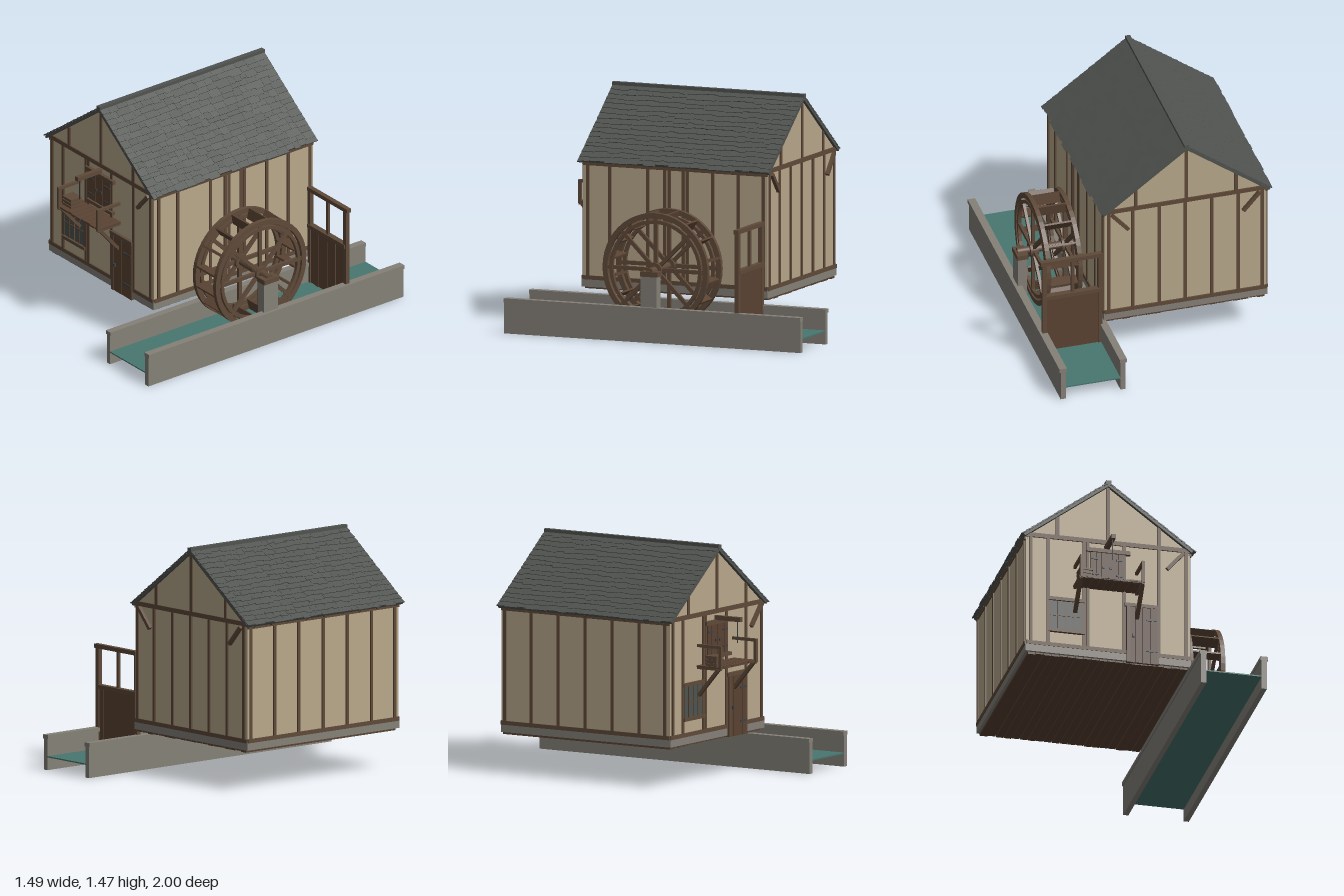
import * as THREE from 'three';
import { mergeGeometries } from 'three/addons/utils/BufferGeometryUtils.js';

const material = (name, color) => Object.assign(new THREE.MeshStandardMaterial({ color }), { name });

export function createModel() {
  const plaster = material('plaster', 0xb8a88b);
  const timber = material('timber', 0x5f4a39);
  const plank = material('plank', 0x5a4333);
  const slate = material('slate', 0x50534f);
  const stone = material('stone', 0x858178);
  const water = material('water', 0x48766f);
  const iron = material('iron', 0x3d4244);
  const glass = material('glass', 0x4c5351);

  const model = new THREE.Group();
  model.name = 'watermill';
  let seed = 7;
  const rand = () => (seed = (seed * 16807) % 2147483647) / 2147483647;

  const group = (name, parent = model) => {
    const g = new THREE.Group();
    g.name = name;
    parent.add(g);
    return g;
  };
  const add = (parent, name, geo, mat) => {
    const m = new THREE.Mesh(geo, mat);
    m.name = name;
    parent.add(m);
    return m;
  };
  // box given by its limits on each axis
  const box = (parent, name, mat, x0, x1, y0, y1, z0, z1) => {
    const m = add(parent, name, new THREE.BoxGeometry(x1 - x0, y1 - y0, z1 - z0), mat);
    m.position.set((x0 + x1) / 2, (y0 + y1) / 2, (z0 + z1) / 2);
    return m;
  };
  // square beam between two points
  const beam = (parent, name, mat, a, b, w, d = w) => {
    const p = new THREE.Vector3(...a), q = new THREE.Vector3(...b);
    const m = add(parent, name, new THREE.BoxGeometry(w, d, p.distanceTo(q)), mat);
    m.position.copy(p).lerp(q, 0.5);
    m.lookAt(q);
    return m;
  };

  // house body
  const X0 = -0.715, X1 = 0.33, Z0 = -0.6, Z1 = 0.645, RX = -0.195;
  const house = group('house');
  const outline = new THREE.Shape([[X0, 0.31], [X1, 0.31], [X1, 1.04], [RX, 1.43], [X0, 1.04]].map(p => new THREE.Vector2(...p)));
  const walls = add(house, 'walls', new THREE.ExtrudeGeometry(outline, { depth: Z1 - Z0, bevelEnabled: false }), plaster);
  walls.position.z = Z0;
  box(house, 'foundation', stone, X0 - 0.003, X1 + 0.004, 0.26, 0.311, Z0 - 0.004, Z1 + 0.006);
  for (let i = 0; i < 20; i++) {
    const x = -0.7 + i * 0.051;
    box(house, 'floorBoard', plank, x, x + 0.047, 0.245 + rand() * 0.006, 0.262, Z0, 0.635);
  }

  // timber frame: gable ends
  const frame = group('timberFrame');
  for (const [z0, z1, studs] of [
    [Z1 - 0.01, Z1 + 0.009, [-0.685, -0.575, -0.345, -0.322, -0.09, 0.13, 0.305]],
    [Z0 - 0.009, Z0 + 0.01, [-0.685, -0.53, -0.36, -0.19, -0.02, 0.15, 0.305]],
  ]) {
    for (const x of studs) box(frame, 'stud', timber, x - 0.01, x + 0.01, 0.33, 1.04, z0, z1);
    for (const [x, top] of [[-0.515, 1.19], [RX, 1.43], [0.13, 1.19]])
      box(frame, 'gableStud', timber, x - 0.011, x + 0.011, 1.065, top, z0, z1);
    box(frame, 'tieBeam', timber, X0, X1, 1.038, 1.066, z0, z1);
    box(frame, 'sillBeam', timber, X0, X1, 0.306, 0.331, z0, z1);
  }
  // timber frame: long sides
  for (const [x0, x1, studs] of [
    [X1 - 0.01, X1 + 0.008, [0.61, 0.46, 0.205, 0.09, 0.06, -0.035, -0.06, -0.235, -0.405, -0.575]],
    [X0 - 0.008, X0 + 0.01, [0.61, 0.42, 0.22, 0.02, -0.18, -0.38, -0.575]],
  ]) {
    for (const z of studs) box(frame, 'stud', timber, x0, x1, 0.33, 1.04, z - 0.01, z + 0.01);
    box(frame, 'wallPlate', timber, x0, x1, 1.02, 1.045, Z0, Z1);
    box(frame, 'sillBeam', timber, x0, x1, 0.306, 0.331, Z0, Z1);
  }
  // corner braces
  beam(frame, 'brace', timber, [0.285, 1.03, 0.655], [0.18, 0.91, 0.655], 0.022);
  beam(frame, 'brace', timber, [0.285, 1.03, -0.612], [0.18, 0.91, -0.612], 0.022);
  beam(frame, 'brace', timber, [-0.665, 1.03, -0.612], [-0.56, 0.91, -0.612], 0.022);

  // roof slopes with staggered slates
  const slope = Math.atan2(0.405, 0.545), L = 0.675, rows = 16, step = L / rows;
  for (const turn of [0, Math.PI]) {
    const side = group('roofSide');
    side.position.set(RX, 1.453, 0.025);
    side.rotation.y = turn;
    const tilt = group('roofSlope', side);
    tilt.rotation.z = -slope;
    box(tilt, 'roofDeck', slate, 0, L, -0.02, -0.004, -0.643, 0.643);
    const slates = [];
    for (let r = 0; r < rows; r++) {
      for (let z = -0.645; z < 0.64;) {
        const w = Math.min(0.04 + rand() * 0.06, 0.645 - z);
        const len = step * 1.35 + (rand() - 0.5) * 0.016;
        const g = new THREE.BoxGeometry(len, 0.007, w - 0.001);
        g.rotateZ(0.07 + rand() * 0.05);
        g.translate(r * step + len / 2 - 0.004, 0.001, z + w / 2);
        slates.push(g);
        z += w;
      }
    }
    add(tilt, 'slates', mergeGeometries(slates), slate);
    for (let i = 0; i < 9; i++) {
      const z = -0.585 + i * 0.146;
      box(tilt, 'rafterTail', timber, 0.55, L + 0.002, -0.036, -0.019, z - 0.01, z + 0.01);
    }
  }
  box(house, 'ridgeCap', slate, RX - 0.016, RX + 0.016, 1.436, 1.466, -0.622, 0.672);

  // boarded panel on the front wall
  const boards = (parent, name, x0, x1, y0, y1, z, n) => {
    const w = (x1 - x0) / n;
    for (let i = 0; i < n; i++)
      box(parent, name, plank, x0 + i * w + 0.001, x0 + (i + 1) * w - 0.001, y0, y1, z - 0.015, z + (i % 2) * 0.002);
  };

  // front door
  const door = group('door');
  boards(door, 'doorBoard', -0.072, 0.12, 0.25, 0.63, 0.66, 4);
  box(door, 'lintel', timber, -0.09, 0.128, 0.628, 0.651, 0.64, 0.665);
  box(door, 'jamb', timber, -0.078, -0.055, 0.25, 0.63, 0.64, 0.664);
  box(door, 'jamb', timber, 0.115, 0.128, 0.25, 0.63, 0.64, 0.664);
  for (const y of [0.54, 0.33]) box(door, 'hinge', iron, 0.045, 0.118, y, y + 0.013, 0.66, 0.666);
  box(door, 'handle', iron, -0.045, -0.03, 0.42, 0.44, 0.66, 0.672);

  // paned window
  const win = group('window');
  box(win, 'pane', glass, -0.565, -0.36, 0.42, 0.622, 0.645, 0.65);
  box(win, 'head', timber, -0.575, -0.345, 0.62, 0.642, 0.64, 0.662);
  box(win, 'sill', timber, -0.575, -0.345, 0.405, 0.426, 0.64, 0.664);
  for (let i = 0; i < 5; i++) {
    const x = -0.565 + i * 0.0515;
    box(win, 'mullion', timber, x - 0.004, x + 0.004, 0.42, 0.622, 0.645, 0.655);
  }
  box(win, 'glazingBar', timber, -0.565, -0.36, 0.518, 0.525, 0.645, 0.654);

  // loft hatch and hoist
  const loft = group('loftHatch');
  boards(loft, 'hatchBoard', -0.308, -0.092, 0.785, 0.975, 0.658, 6);
  box(loft, 'lintel', timber, -0.335, -0.055, 0.974, 1.0, 0.64, 0.668);
  box(loft, 'sill', timber, -0.315, -0.06, 0.762, 0.784, 0.64, 0.67);
  for (const x of [-0.305, -0.145]) for (const y of [0.82, 0.925])
    box(loft, 'hinge', iron, x, x + 0.05, y, y + 0.011, 0.658, 0.664);
  for (const x of [-0.225, -0.18]) box(loft, 'handle', iron, x - 0.006, x + 0.006, 0.865, 0.88, 0.658, 0.668);
  box(loft, 'hoistBeam', timber, -0.218, -0.19, 0.998, 1.026, 0.63, 0.835);
  box(loft, 'hoistRope', iron, -0.207, -0.201, 0.865, 1.0, 0.805, 0.811);

  // balcony
  const balcony = group('balcony');
  for (let i = 0; i < 9; i++) {
    const x = -0.415 + i * 0.0463;
    box(balcony, 'deckBoard', plank, x, x + 0.043, 0.726, 0.737, 0.645, 0.81 + rand() * 0.01);
  }
  box(balcony, 'deckEdge', timber, -0.415, 0, 0.722, 0.732, 0.79, 0.812);
  for (const x of [-0.405, -0.012]) {
    box(balcony, 'railPost', timber, x - 0.009, x + 0.009, 0.722, 0.868, 0.805, 0.825);
    box(balcony, 'handrail', timber, x - 0.009, x + 0.009, 0.852, 0.87, 0.645, 0.825);
    box(balcony, 'railFoot', timber, x - 0.009, x + 0.009, 0.715, 0.73, 0.645, 0.82);
    beam(balcony, 'bracket', timber, [x, 0.72, 0.8], [x, 0.55, 0.655], 0.024, 0.02);
  }
  box(balcony, 'crate', plank, -0.402, -0.328, 0.737, 0.795, 0.71, 0.78);
  for (const y of [0.742, 0.766, 0.788]) box(balcony, 'crateSlat', timber, -0.408, -0.322, y, y + 0.014, 0.704, 0.786);

  // mill race
  const race = group('millRace');
  for (const [a, b, c, d] of [[0.312, 0.345, 0.304, 0.35], [0.697, 0.73, 0.69, 0.738]]) {
    box(race, 'channelWall', stone, a, b, 0, 0.2, -1, 1);
    box(race, 'coping', stone, c, d, 0.195, 0.22, -1, 1);
  }
  box(race, 'waterSurface', water, 0.344, 0.698, 0.08, 0.088, -1, 1);

  // sluice gate
  const gate = group('sluiceGate');
  for (const x of [0.35, 0.708]) box(gate, 'gatePost', timber, x - 0.014, x + 0.014, 0.085, 0.72, -0.58, -0.553);
  box(gate, 'topRail', timber, 0.335, 0.735, 0.715, 0.741, -0.583, -0.552);
  box(gate, 'middleRail', timber, 0.34, 0.712, 0.462, 0.488, -0.585, -0.548);
  box(gate, 'liftingRod', timber, 0.515, 0.535, 0.43, 0.72, -0.574, -0.558);
  for (let i = 0; i < 8; i++) {
    const x = 0.362 + i * 0.0417;
    box(gate, 'gateBoard', plank, x, x + 0.0405, 0.085, 0.465, -0.575, -0.56 + (i % 2) * 0.004);
  }

  // water wheel, its axis along local z
  const wheel = group('waterWheel');
  wheel.position.set(0.503, 0.44, 0.03);
  wheel.rotation.y = Math.PI / 2;
  const ring = (name, outer, inner, z, depth) => {
    const s = new THREE.Shape().absarc(0, 0, outer, 0, Math.PI * 2);
    s.holes.push(new THREE.Path().absarc(0, 0, inner, 0, Math.PI * 2, true));
    const m = add(wheel, name, new THREE.ExtrudeGeometry(s, { depth, bevelEnabled: false, curveSegments: 24 }), timber);
    m.position.z = z - depth / 2;
  };
  for (const z of [-0.102, 0.102]) {
    ring('outerRim', 0.355, 0.322, z, 0.028);
    ring('innerRim', 0.31, 0.288, z, 0.022);
    for (let i = 0; i < 4; i++) {
      const spoke = add(wheel, 'spoke', new THREE.BoxGeometry(0.66, 0.024, 0.018), timber);
      spoke.position.z = z;
      spoke.rotation.z = i * Math.PI / 4;
    }
    const hub = add(wheel, 'hub', new THREE.CylinderGeometry(0.046, 0.046, 0.05, 20), timber);
    hub.rotation.x = Math.PI / 2;
    hub.position.z = z;
  }
  for (let i = 0; i < 16; i++) {
    const a = (i + 0.5) * Math.PI / 8;
    const paddle = add(wheel, 'paddle', new THREE.BoxGeometry(0.07, 0.012, 0.18), plank);
    paddle.position.set(Math.cos(a) * 0.318, Math.sin(a) * 0.318, 0);
    paddle.rotation.z = a;
  }
  const axle = add(wheel, 'axle', new THREE.CylinderGeometry(0.023, 0.023, 0.38, 16), timber);
  axle.rotation.x = Math.PI / 2;
  axle.position.z = 0.015;

  // axle pier
  box(model, 'axlePier', stone, 0.658, 0.718, 0.085, 0.412, -0.024, 0.084);
  box(model, 'axleBearing', timber, 0.65, 0.722, 0.41, 0.442, -0.03, 0.085);
  return model;
}
